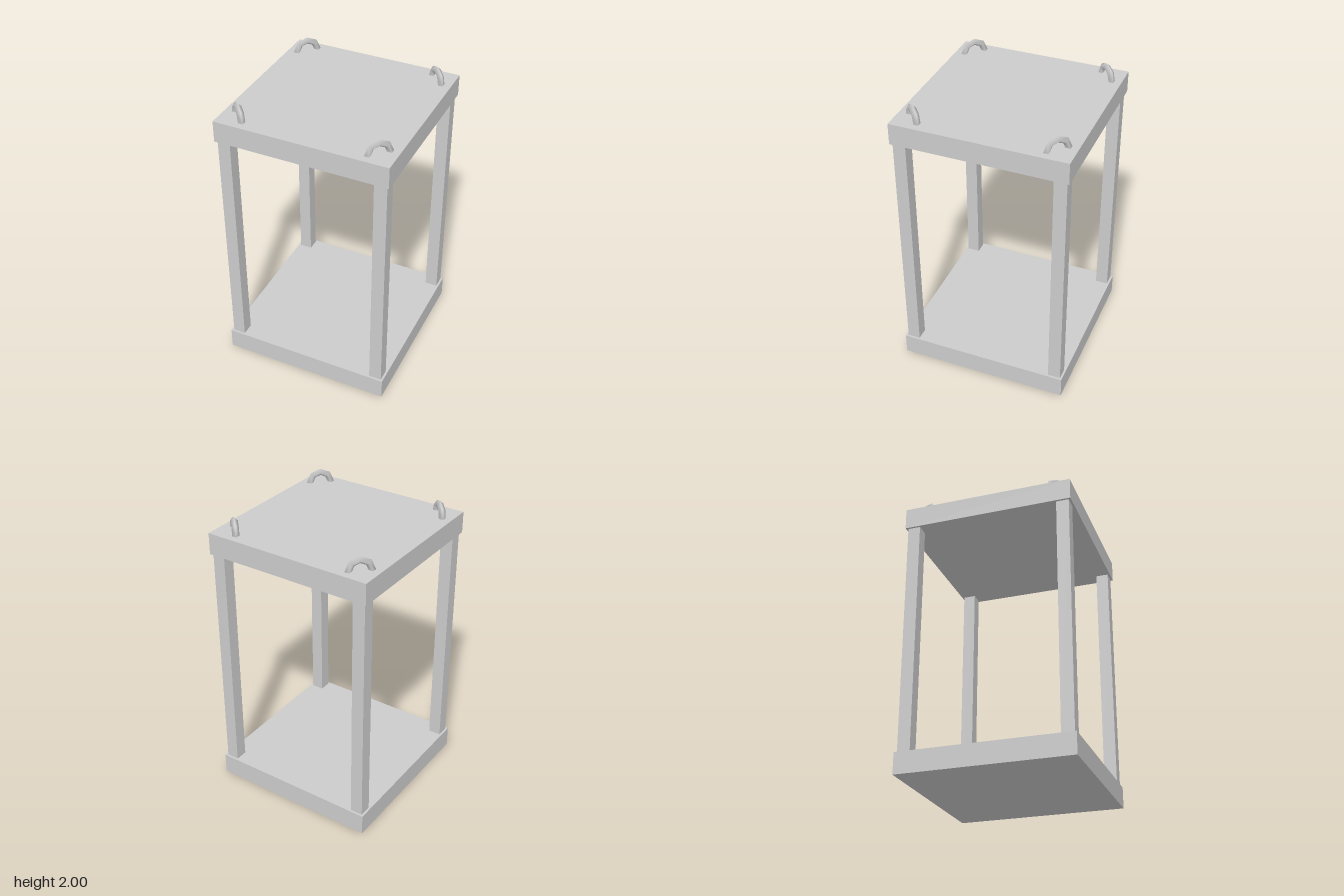
import * as THREE from 'three';

export function createModel() {
  const model = new THREE.Group();
  const material = new THREE.MeshStandardMaterial({ color: 0xcccccc });

  const width = 1.17, slab = 0.146, deckTop = 1.905;
  const post = 0.086, postOffset = 0.527, ringOffset = 0.469;
  const postHeight = deckTop - 2 * slab;

  function add(name, geometry, x, y, z) {
    const mesh = new THREE.Mesh(geometry, material);
    mesh.name = name;
    mesh.position.set(x, y, z);
    model.add(mesh);
    return mesh;
  }

  // Base and roof slabs
  const slabGeometry = new THREE.BoxGeometry(width, slab, width);
  add('base', slabGeometry, 0, slab / 2, 0);
  add('roof', slabGeometry, 0, deckTop - slab / 2, 0);

  // Corner posts, each with a half-ring lifting eye set across the diagonal
  const postGeometry = new THREE.BoxGeometry(post, postHeight, post);
  const ringGeometry = new THREE.TorusGeometry(0.072, 0.023, 4, 4, Math.PI);
  for (const sx of [-1, 1]) {
    for (const sz of [-1, 1]) {
      const corner = (sz > 0 ? 'front' : 'back') + (sx > 0 ? 'Left' : 'Right');
      add(corner + 'Post', postGeometry, sx * postOffset, slab + postHeight / 2, sz * postOffset);
      const ring = add(corner + 'LiftingRing', ringGeometry, sx * ringOffset, deckTop, sz * ringOffset);
      ring.rotation.y = sx * sz * Math.PI / 4;
    }
  }

  return model;
}
